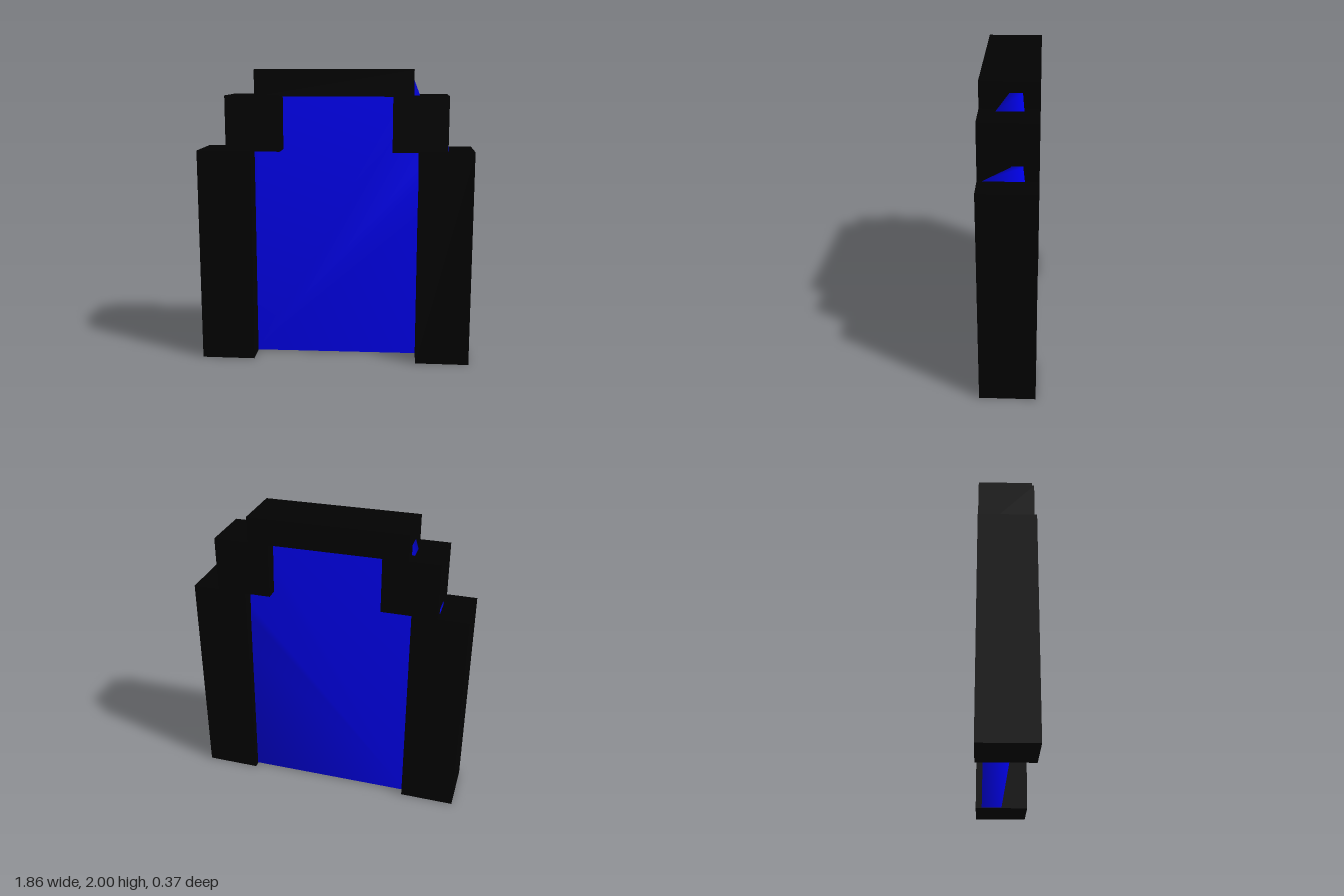
import * as THREE from 'three';

const black = new THREE.MeshStandardMaterial({ color: 0x020202 });
const blue = new THREE.MeshStandardMaterial({ color: 0x0000ff });

// Box given by its x and y limits, as deep as the whole frame
function block(name, x0, x1, y0, y1) {
  const mesh = new THREE.Mesh(new THREE.BoxGeometry(x1 - x0, y1 - y0, 0.365), black);
  mesh.position.set((x0 + x1) / 2, (y0 + y1) / 2, 0);
  mesh.name = name;
  return mesh;
}

// Slab from an outline of [x, y, front z, back z], fanned from its first corner
function panelGeometry(outline) {
  const n = outline.length;
  const positions = [];
  const index = [];
  for (const [x, y, front] of outline) positions.push(x, y, front);
  for (const [x, y, , back] of outline) positions.push(x, y, back);
  for (let i = 1; i < n - 1; i++) {
    index.push(0, i, i + 1);
    index.push(n, n + i + 1, n + i);
  }
  for (let i = 0; i < n; i++) {
    const j = (i + 1) % n;
    index.push(i, n + i, n + j, i, n + j, j);
  }
  const geometry = new THREE.BufferGeometry();
  geometry.setAttribute('position', new THREE.Float32BufferAttribute(positions, 3));
  geometry.setIndex(index);
  geometry.computeVertexNormals();
  return geometry;
}

export function createModel() {
  const group = new THREE.Group();
  group.name = 'portal';

  // Stepped frame
  group.add(
    block('rightPillar', -0.93, -0.565, 0, 1.463),
    block('leftPillar', 0.56, 0.925, 0, 1.468),
    block('rightShoulder', -0.73, -0.365, 1.46, 1.83),
    block('leftShoulder', 0.385, 0.75, 1.46, 1.83),
    block('lintel', -0.53, 0.52, 1.825, 2)
  );

  // Uneven glowing panel, its corners just poking through the frame's steps
  const panel = new THREE.Mesh(panelGeometry([
    [-0.58, 0.005, 0.02, -0.135],
    [0.58, 0.005, 0.0, -0.14],
    [0.72, 1.15, 0.03, -0.11],
    [0.756, 1.47, 0.15, -0.1],
    [0.753, 1.56, -0.02, -0.09],
    [0.56, 1.83, 0.08, -0.09],
    [0.522, 1.93, 0.0, -0.08],
    [-0.52, 1.93, 0.02, -0.08],
    [-0.55, 1.83, 0.02, -0.09],
    [-0.735, 1.48, 0.02, -0.1],
    [-0.7, 1.1, 0.03, -0.11]
  ]), blue);
  panel.name = 'portalPanel';
  group.add(panel);

  return group;
}
